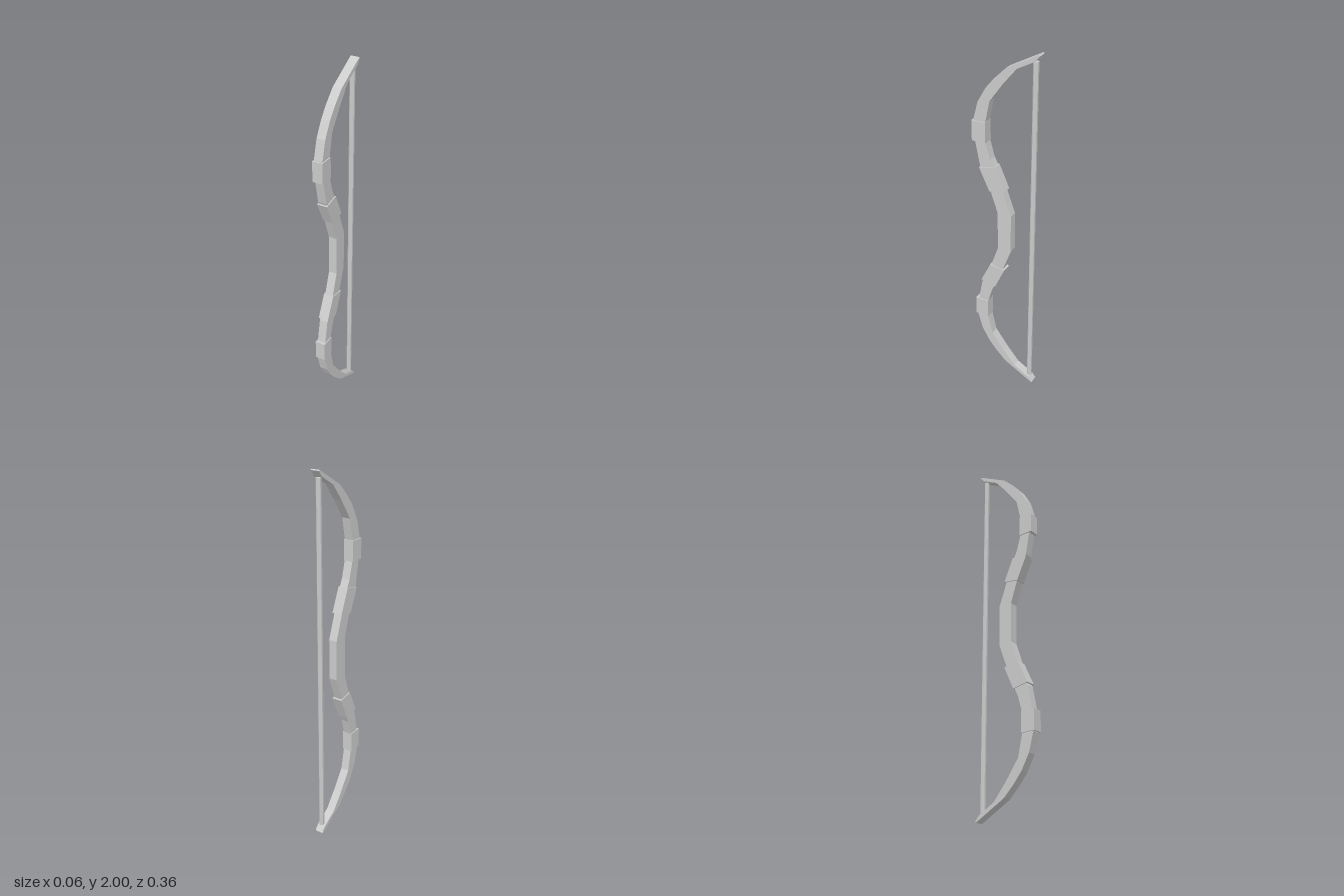
import * as THREE from 'three';

const material = new THREE.MeshStandardMaterial({ color: 0xcccccc, flatShading: true });

// Side profile in (z, y), extruded along x and centred on x = 0
function slab(name, points, width) {
  const shape = new THREE.Shape(points.map(([z, y]) => new THREE.Vector2(z, y)));
  const geometry = new THREE.ExtrudeGeometry(shape, { depth: width, bevelEnabled: false });
  geometry.translate(0, 0, -width / 2);
  geometry.rotateY(-Math.PI / 2);
  const mesh = new THREE.Mesh(geometry, material);
  mesh.name = name;
  return mesh;
}

const flip = (points) => points.map(([z, y]) => [z, 2 - y]).reverse();

export function createModel() {
  const bow = new THREE.Group();
  bow.name = 'bow';

  // Recurved stave: upper half of the front and back edges, mirrored about y = 1
  const front = [
    [0.04, 1.11], [0.08, 1.23], [0.14, 1.37], [0.165, 1.5], [0.172, 1.61],
    [0.145, 1.71], [0.1, 1.79], [0.055, 1.845], [-0.005, 1.905], [-0.175, 2],
  ];
  const back = [
    [-0.18, 1.995], [-0.157, 1.967], [-0.065, 1.915], [0.005, 1.83], [0.08, 1.725],
    [0.105, 1.61], [0.105, 1.5], [0.08, 1.41], [0.05, 1.35], [0.01, 1.24], [-0.037, 1.11],
  ];
  bow.add(slab('stave', [...front, ...back, ...flip(back), ...flip(front)], 0.046));

  // Wrapped bands, a straight and a tilted one on each limb
  const limbBand = [[0.18, 1.497], [0.18, 1.607], [0.104, 1.607], [0.104, 1.497]];
  const gripBand = [[0.085, 1.23], [0.143, 1.355], [0.056, 1.372], [0, 1.245]];
  for (const [name, band] of [['LimbBand', limbBand], ['GripBand', gripBand]]) {
    bow.add(slab('upper' + name, band, 0.056));
    bow.add(slab('lower' + name, flip(band), 0.056));
  }

  // Bowstring
  const string = new THREE.Mesh(new THREE.CylinderGeometry(0.014, 0.014, 1.92, 8), material);
  string.name = 'bowstring';
  string.position.set(0, 1, -0.151);
  string.rotation.y = Math.PI / 8;
  bow.add(string);

  return bow;
}
